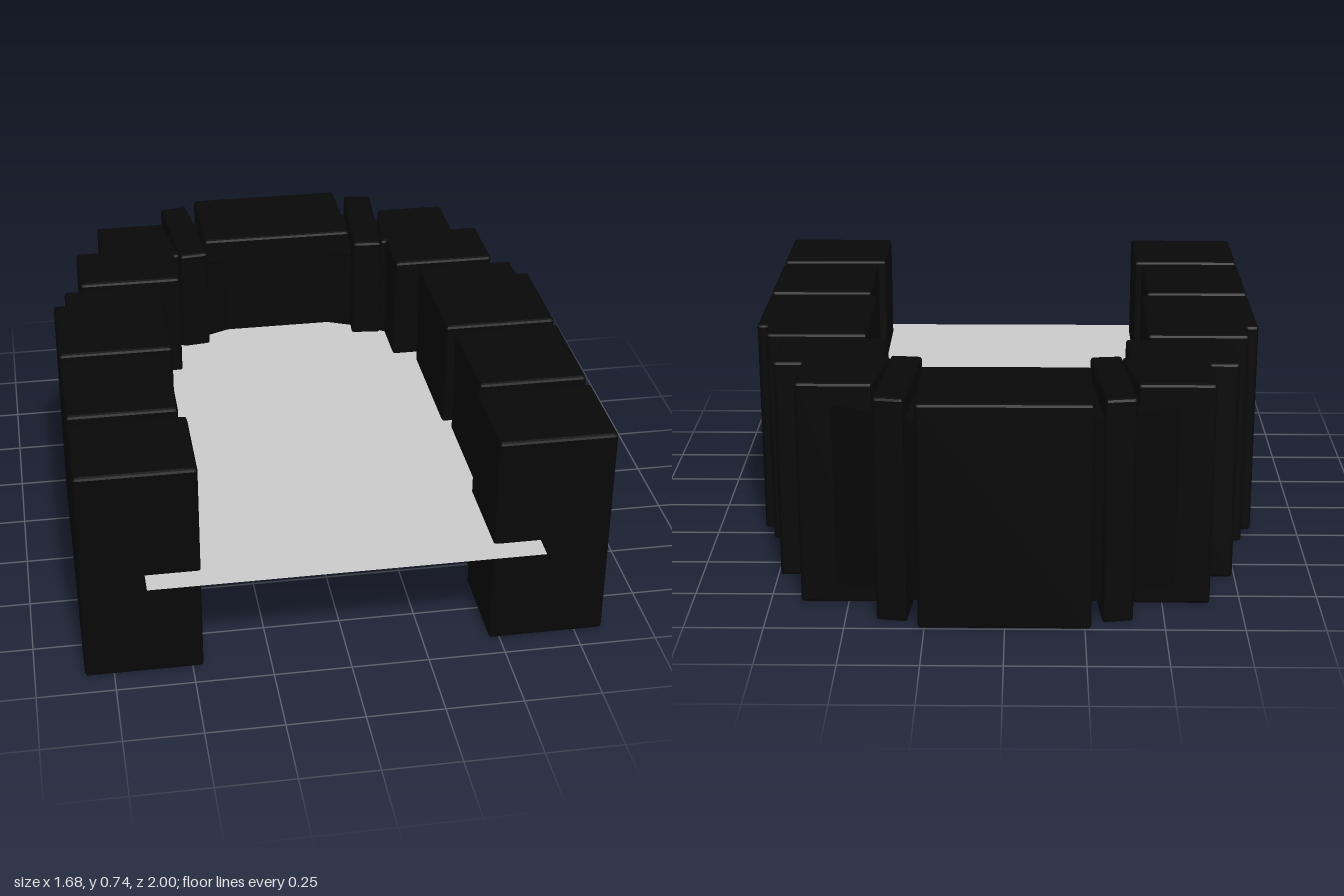
import * as THREE from 'three';

const HEIGHT = 0.74;
const stone = new THREE.MeshStandardMaterial({ color: 0x080808 });
const mortar = new THREE.MeshStandardMaterial({ color: 0x080808 });
const sheet = new THREE.MeshStandardMaterial({ color: 0xcccccc, side: THREE.DoubleSide });

const rect = (x0, z0, x1, z1) => [[x0, z0], [x1, z0], [x1, z1], [x0, z1]];
const mirror = (points) => points.map(([x, z]) => [-x, z]).reverse();

// Plan outline with small rounded corners of radius r
function outline(points, r) {
  const pts = points.map(([x, z]) => new THREE.Vector2(x, z));
  const shape = new THREE.Shape();
  pts.forEach((p, i) => {
    const prev = pts[(i + pts.length - 1) % pts.length];
    const next = pts[(i + 1) % pts.length];
    const a = p.clone().add(prev.clone().sub(p).setLength(r));
    const b = p.clone().add(next.clone().sub(p).setLength(r));
    if (i === 0) shape.moveTo(a.x, a.y);
    else shape.lineTo(a.x, a.y);
    shape.quadraticCurveTo(p.x, p.y, b.x, b.y);
  });
  shape.closePath();
  return shape;
}

// Upright prism from a plan outline (x, z), with worn top and bottom edges
function prism(name, points, y0, y1, bevel, material) {
  const geometry = new THREE.ExtrudeGeometry(outline(points, 0.012), {
    depth: y1 - y0 - 2 * bevel,
    bevelEnabled: bevel > 0,
    bevelThickness: bevel,
    bevelSize: bevel,
    bevelOffset: -bevel,
    bevelSegments: 2,
    curveSegments: 3,
  });
  geometry.rotateX(Math.PI / 2);
  geometry.translate(0, y1 - bevel, 0);
  const mesh = new THREE.Mesh(geometry, material);
  mesh.name = name;
  return mesh;
}

export function createModel() {
  const group = new THREE.Group();
  group.name = 'stoneArch';

  // Stones of one side, from the foot of the arch to its crown
  const stones = {
    footStone: rect(0.465, 0.6, 0.842, 0.92),
    lowerStone: rect(0.487, 0.19, 0.842, 0.555),
    middleStone: [[0.465, -0.307], [0.8, -0.307], [0.8, -0.207],
      [0.842, -0.207], [0.842, 0.153], [0.465, 0.153]],
    springStone: rect(0.39, -0.605, 0.742, -0.35),
    shoulderStone: [[0.41, -0.81], [0.652, -0.81], [0.652, -0.59], [0.4, -0.54], [0.37, -0.54]],
    wedgeStone: [[0.305, -0.955], [0.403, -0.94], [0.37, -0.525], [0.268, -0.537]],
  };
  for (const [name, points] of Object.entries(stones)) {
    group.add(prism(name + 'Left', points, 0, HEIGHT, 0.01, stone));
    group.add(prism(name + 'Right', mirror(points), 0, HEIGHT, 0.01, stone));
  }

  // Crown stone
  group.add(prism('keystone', rect(-0.27, -1, 0.27, -0.637), 0, HEIGHT, 0.01, stone));

  // Recessed mortar core that shows in the joints
  const outer = [[0.79, 0.86], [0.79, 0.58], [0.83, 0.17], [0.77, -0.31],
    [0.7, -0.4], [0.63, -0.76], [0.54, -0.81], [0.25, -0.955]];
  const inner = [[0.19, -0.63], [0.27, -0.595], [0.43, -0.5], [0.485, -0.33],
    [0.5, 0.17], [0.535, 0.58], [0.535, 0.86]];
  const half = [...outer, ...inner];
  const core = [...outer, ...mirror(outer), ...mirror(inner), ...inner];
  if (half.length) group.add(prism('mortarCore', core, 0.07, 0.67, 0, mortar));

  // Thin sheet filling the opening at mid depth
  const panel = new THREE.Mesh(new THREE.PlaneGeometry(1.255, 1.7).rotateX(-Math.PI / 2), sheet);
  panel.name = 'openingPanel';
  panel.position.set(-0.012, 0.37, 0.15);
  group.add(panel);

  return group;
}
